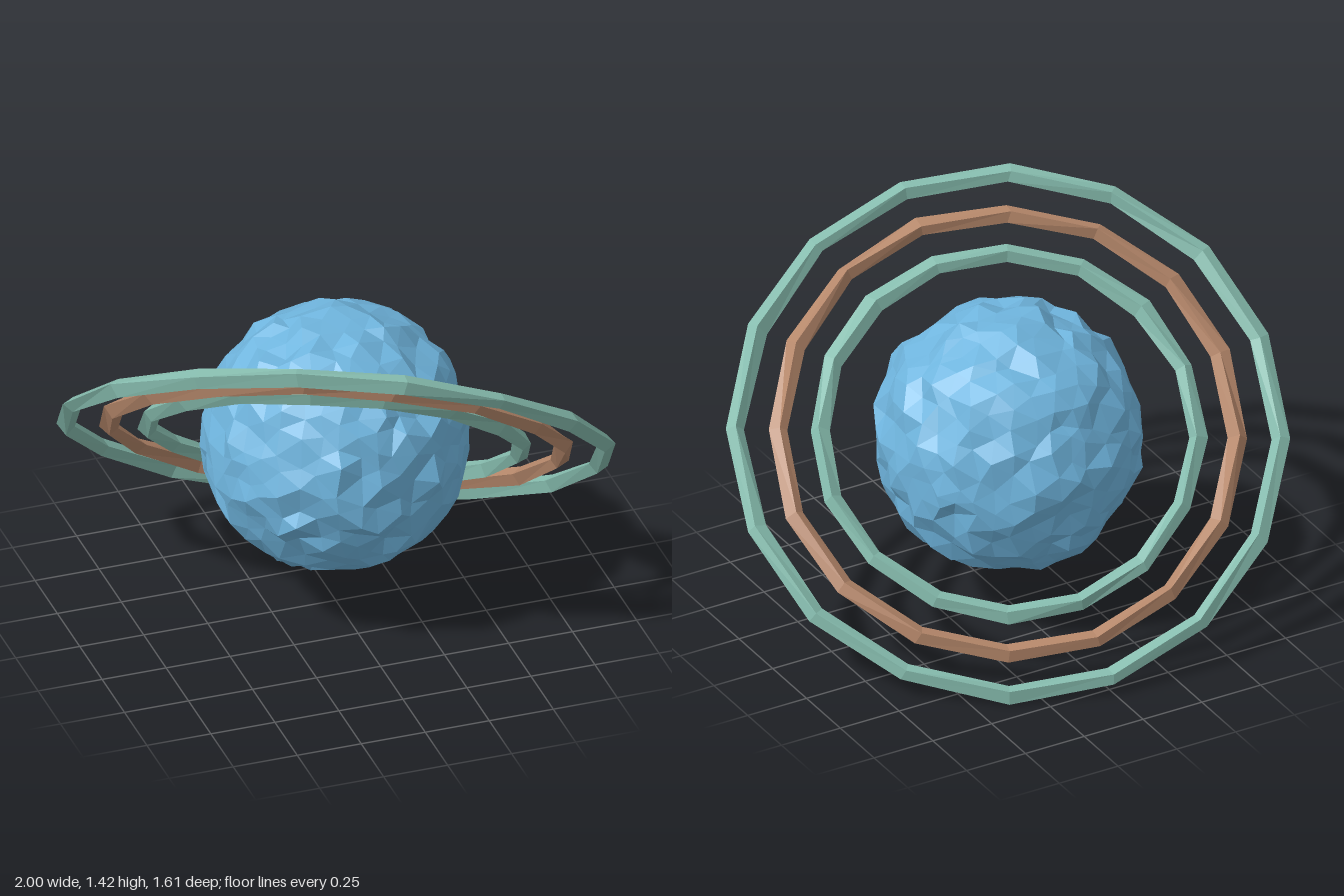
import * as THREE from 'three';
import { mergeVertices } from 'three/addons/utils/BufferGeometryUtils.js';

const CENTRE_Y = 0.71;

// Small seeded generator, returns -1..1
function makeNoise(seed) {
  let s = seed;
  return () => {
    s = (Math.imul(s, 1664525) + 1013904223) >>> 0;
    return (s / 4294967296) * 2 - 1;
  };
}

// Weld the vertices, then nudge each one so the facets turn rough
function roughen(geometry, amount, seed) {
  geometry.deleteAttribute('uv');
  geometry.deleteAttribute('normal');
  const welded = mergeVertices(geometry, 1e-4);
  const noise = makeNoise(seed);
  const p = welded.attributes.position;
  for (let i = 0; i < p.count; i++) {
    p.setXYZ(i,
      p.getX(i) + noise() * amount,
      p.getY(i) + noise() * amount,
      p.getZ(i) + noise() * amount);
  }
  const faceted = welded.toNonIndexed();
  faceted.computeVertexNormals();
  return faceted;
}

function material(name, color) {
  const m = new THREE.MeshStandardMaterial({ color, flatShading: true });
  m.name = name;
  return m;
}

export function createModel() {
  const model = new THREE.Group();
  model.name = 'ringedPlanet';

  const blue = material('planetBlue', 0x6fb5de);
  const teal = material('ringTeal', 0x86bcae);
  const copper = material('ringCopper', 0xb5876a);

  // Rocky globe
  const globe = new THREE.Mesh(
    roughen(new THREE.IcosahedronGeometry(0.496, 6), 0.02, 7), blue);
  globe.name = 'globe';
  globe.position.y = CENTRE_Y;
  model.add(globe);

  // Rings share one tilted plane, high at the front and on the right
  const normal = new THREE.Vector3(0.284, 0.733, -0.618).normalize();
  const up = new THREE.Vector3(0, 0.618, 0.733).normalize();
  const side = new THREE.Vector3().crossVectors(normal, up).normalize();
  const rings = new THREE.Group();
  rings.name = 'rings';
  rings.quaternion.setFromRotationMatrix(
    new THREE.Matrix4().makeBasis(side, up, normal.clone().negate()));
  rings.position.y = CENTRE_Y;
  model.add(rings);

  const specs = [
    ['outerRing', 1.005, teal],
    ['middleRing', 0.85, copper],
    ['innerRing', 0.698, teal],
  ];
  specs.forEach(([name, radius, mat], i) => {
    const ring = new THREE.Mesh(
      roughen(new THREE.TorusGeometry(radius, 0.035, 4, 16), 0.007, 21 + i * 13), mat);
    ring.name = name;
    rings.add(ring);
  });

  return model;
}
